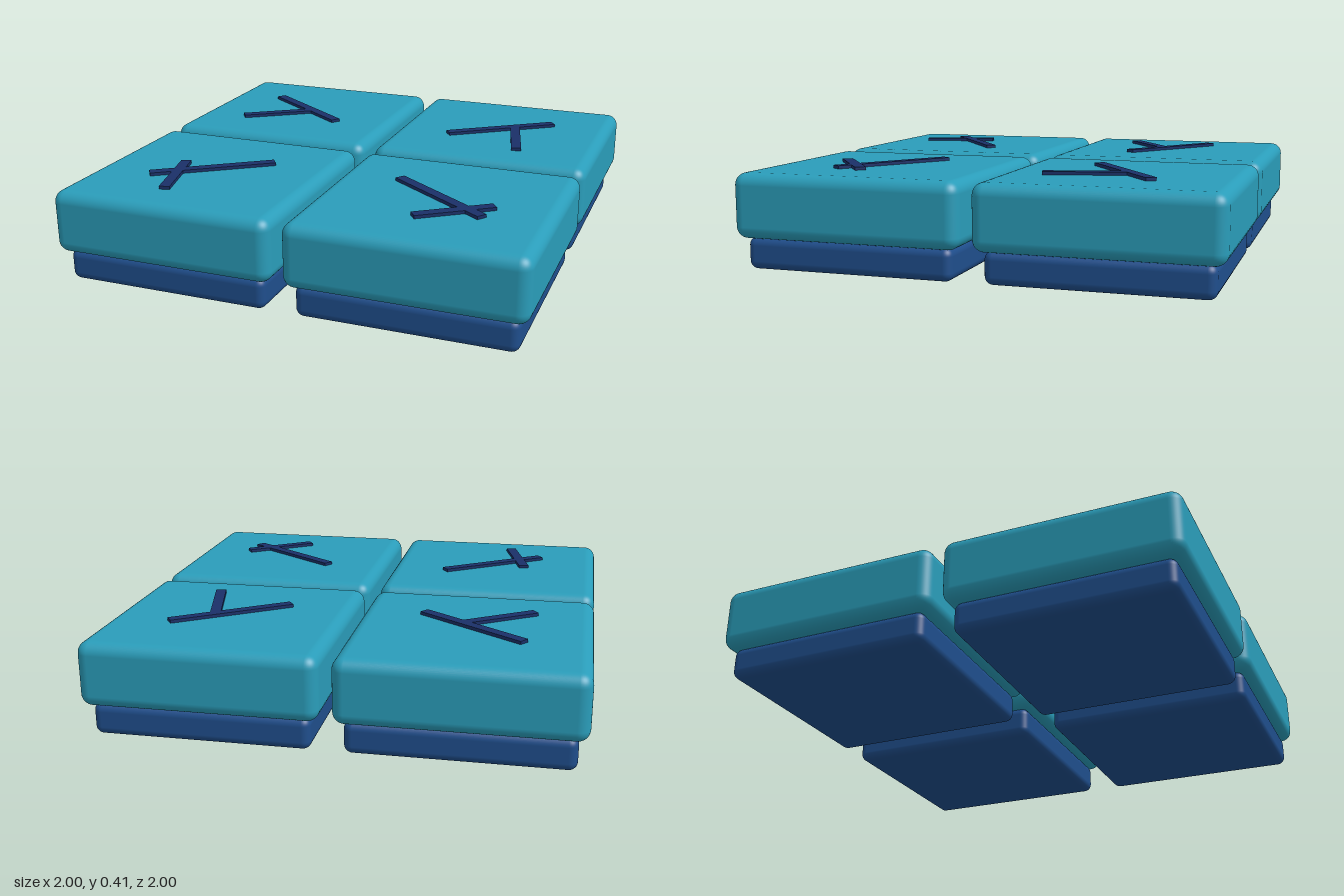
import * as THREE from 'three';
import { RoundedBoxGeometry } from 'three/addons/geometries/RoundedBoxGeometry.js';

export function createModel() {
  const model = new THREE.Group();
  model.name = 'tileSet';
  const teal = new THREE.MeshStandardMaterial({ color: 0x2a9dba });
  const blue = new THREE.MeshStandardMaterial({ color: 0x1f4e8c });
  const navy = new THREE.MeshStandardMaterial({ color: 0x1a3068 });

  const add = (parent, name, geometry, material, x, y, z) => {
    const mesh = new THREE.Mesh(geometry, material);
    mesh.name = name;
    mesh.position.set(x, y, z);
    parent.add(mesh);
    return mesh;
  };

  const capGeometry = new RoundedBoxGeometry(0.975, 0.27, 0.975, 5, 0.05);
  const baseGeometry = new RoundedBoxGeometry(0.895, 0.135, 0.895, 5, 0.035);

  // Straight raised bar between two points on the top face
  const addBar = (parent, name, [x1, z1, x2, z2]) => {
    const length = Math.hypot(x2 - x1, z2 - z1);
    const bar = add(parent, name, new THREE.BoxGeometry(length, 0.025, 0.045), navy,
      (x1 + x2) / 2, 0.401, (z1 + z2) / 2);
    bar.rotation.y = -Math.atan2(z2 - z1, x2 - x1);
  };

  // Each tile: side in x, side in z, and its short bar's end points
  const tiles = [
    ['backRightTile', -1, -1, [-0.755, -0.28, -0.47, -0.477]],
    ['backLeftTile', 1, -1, [0.57, -0.545, 0.655, -0.21]],
    ['frontRightTile', -1, 1, [-0.66, 0.475, -0.575, 0.81]],
    ['frontLeftTile', 1, 1, [0.475, 0.745, 0.75, 0.545]],
  ];
  for (const [name, sx, sz, shortBar] of tiles) {
    const tile = new THREE.Group();
    tile.name = name;
    add(tile, 'base', baseGeometry, blue, sx * 0.5125, 0.0675, sz * 0.5125);
    add(tile, 'cap', capGeometry, teal, sx * 0.5125, 0.265, sz * 0.5125);
    // Long diagonal bar, mirrored in every tile
    addBar(tile, 'longBar', [sx * 0.29, sz * 0.352, sx * 0.73, sz * 0.668]);
    addBar(tile, 'shortBar', shortBar);
    model.add(tile);
  }
  return model;
}
